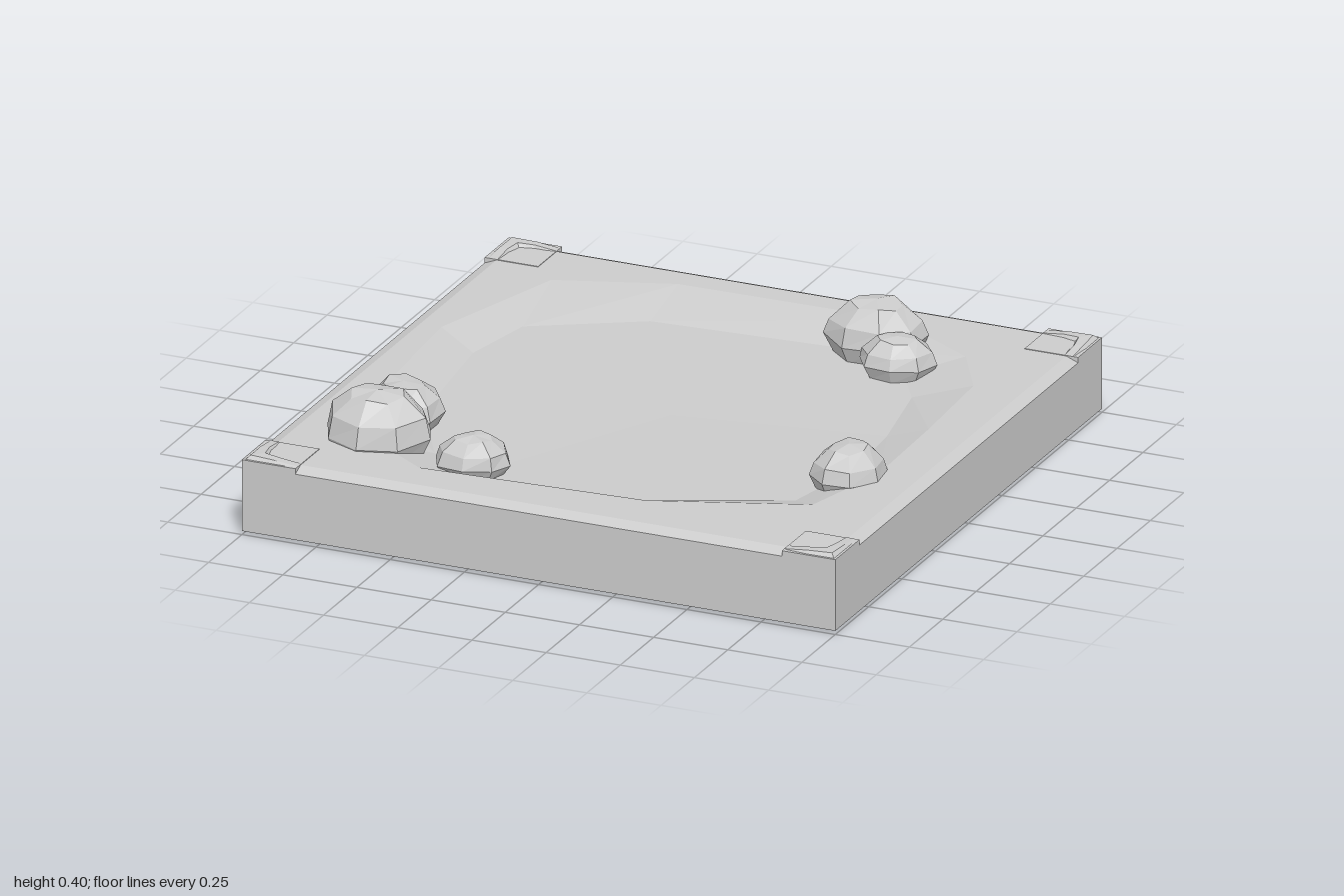
import * as THREE from 'three';

const TOP = 0.246;
const material = new THREE.MeshStandardMaterial({ color: 0xcccccc, flatShading: true });

// Skin closed loops of [x, y, z]; loops run counterclockwise seen from the last one
function loft(rings) {
  const pos = [];
  for (let i = 0; i < rings.length - 1; i++) {
    const n = rings[i].length;
    for (let j = 0; j < n; j++) {
      const k = (j + 1) % n;
      const [a, b, c, d] = [rings[i][j], rings[i][k], rings[i + 1][k], rings[i + 1][j]];
      pos.push(...a, ...b, ...c, ...a, ...c, ...d);
    }
  }
  const g = new THREE.BufferGeometry();
  g.setAttribute('position', new THREE.Float32BufferAttribute(pos, 3));
  g.computeVertexNormals();
  return g;
}

function add(group, name, geometry) {
  const mesh = new THREE.Mesh(geometry, material);
  mesh.name = name;
  group.add(mesh);
  return mesh;
}

// Faceted boulder: stacked uneven rings closed by a tilted cap
function rockGeometry(rx, rz, height, seed) {
  let s = seed;
  const rand = () => ((s = (s * 16807) % 2147483647) / 2147483647) - 0.5;
  for (let i = 0; i < 5; i++) rand();
  const sides = 8, turn = rand();
  const profile = [[0.8, 0], [0.98, 0.32], [0.88, 0.64], [0.5, 0.94], [0, 1]];
  const wobble = Array.from({ length: sides }, () => 1 + rand() * 0.1);
  return loft(profile.map(([r, y], i) => Array.from({ length: sides }, (_, j) => {
    const a = turn + (j / sides) * Math.PI * 2;
    const k = r * wobble[j] * (1 + rand() * 0.06);
    const lift = i > 0 && i < 4 ? rand() * 0.1 : 0;
    return [Math.cos(a) * k * rx, (y + lift) * height, -Math.sin(a) * k * rz];
  })));
}

export function createModel() {
  const model = new THREE.Group();
  model.name = 'rockyGroundTile';

  // Slab with a barely bulging underside and a chamfered upper edge
  const square = (h, y) => [[h, y, h], [h, y, -h], [-h, y, -h], [-h, y, h]];
  add(model, 'slab', loft([square(0, 0), square(1, 0.012), square(1, 0.23), square(0.96, TOP)]));

  // Basin outlines as [x, z]
  const outer = [[-0.37, -0.87], [-0.74, -0.74], [-0.89, -0.25], [-0.85, 0.3], [-0.7, 0.68],
    [-0.48, 0.83], [0.27, 0.79], [0.75, 0.61], [0.83, 0.3], [0.82, -0.1], [0.8, -0.48],
    [0.68, -0.69], [0.36, -0.88]];
  const inner = [[-0.37, -0.66], [-0.71, -0.46], [-0.76, -0.2], [-0.7, 0.3], [-0.53, 0.6],
    [-0.36, 0.72], [0.22, 0.69], [0.64, 0.5], [0.7, 0.2], [0.68, -0.1], [0.62, -0.42],
    [0.52, -0.58], [0.25, -0.7]];

  // Flat border around the basin
  const border = new THREE.Shape([[-1, -1], [1, -1], [1, 1], [-1, 1]]
    .map(([x, y]) => new THREE.Vector2(x * 0.96, y * 0.96)));
  border.holes.push(new THREE.Path(outer.map(([x, z]) => new THREE.Vector2(x, -z))));
  add(model, 'border', new THREE.ShapeGeometry(border).rotateX(-Math.PI / 2).translate(0, TOP, 0));

  // Shallow basin: sloped bank, then the floor
  const level = (loop, y, k = 1) => loop.map(([x, z]) => [x * k, y, z * k]);
  add(model, 'basin', loft([level(outer, TOP), level(inner, 0.2), level(inner, 0.194, 0)]));

  // Corner pads, each with a curved raised lip
  const lipPath = [
    [1, 0.82, 0.945, 0.82, 0.249], [1, 0.9, 0.945, 0.89, 0.257], [1, 1, 0.932, 0.932, 0.26],
    [0.9, 1, 0.89, 0.945, 0.257], [0.82, 1, 0.82, 0.945, 0.249],
  ];
  const lipGeometry = loft(lipPath.map(([ox, oz, ix, iz, h]) => {
    const at = (t, y) => [ox + (ix - ox) * t, y, oz + (iz - oz) * t];
    return [at(0, 0.24), at(0.3, h), at(0.8, h), at(1, 0.24)];
  }));
  const padGeometry = new THREE.BoxGeometry(0.18, 0.019, 0.18).translate(0.91, 0.2385, 0.91);
  for (let i = 0; i < 4; i++) {
    const corner = new THREE.Group();
    corner.name = 'corner' + (i + 1);
    add(corner, 'cornerPad', padGeometry);
    add(corner, 'cornerLip', lipGeometry);
    corner.rotation.y = (i * Math.PI) / 2;
    model.add(corner);
  }

  // Boulders: x, z, half width, half depth, top height
  const rocks = [
    [-0.705, 0.64, 0.178, 0.162, 0.398], [-0.72, 0.41, 0.132, 0.132, 0.34],
    [-0.365, 0.675, 0.125, 0.108, 0.316], [0.37, -0.715, 0.168, 0.14, 0.378],
    [0.495, -0.59, 0.125, 0.112, 0.32], [0.74, 0.32, 0.122, 0.142, 0.34],
  ];
  rocks.forEach(([x, z, rx, rz, top], i) => {
    const base = 0.195;
    const rock = add(model, 'rock' + (i + 1), rockGeometry(rx, rz, top - base, 911 + i * 377));
    rock.position.set(x, base, z);
  });

  return model;
}
